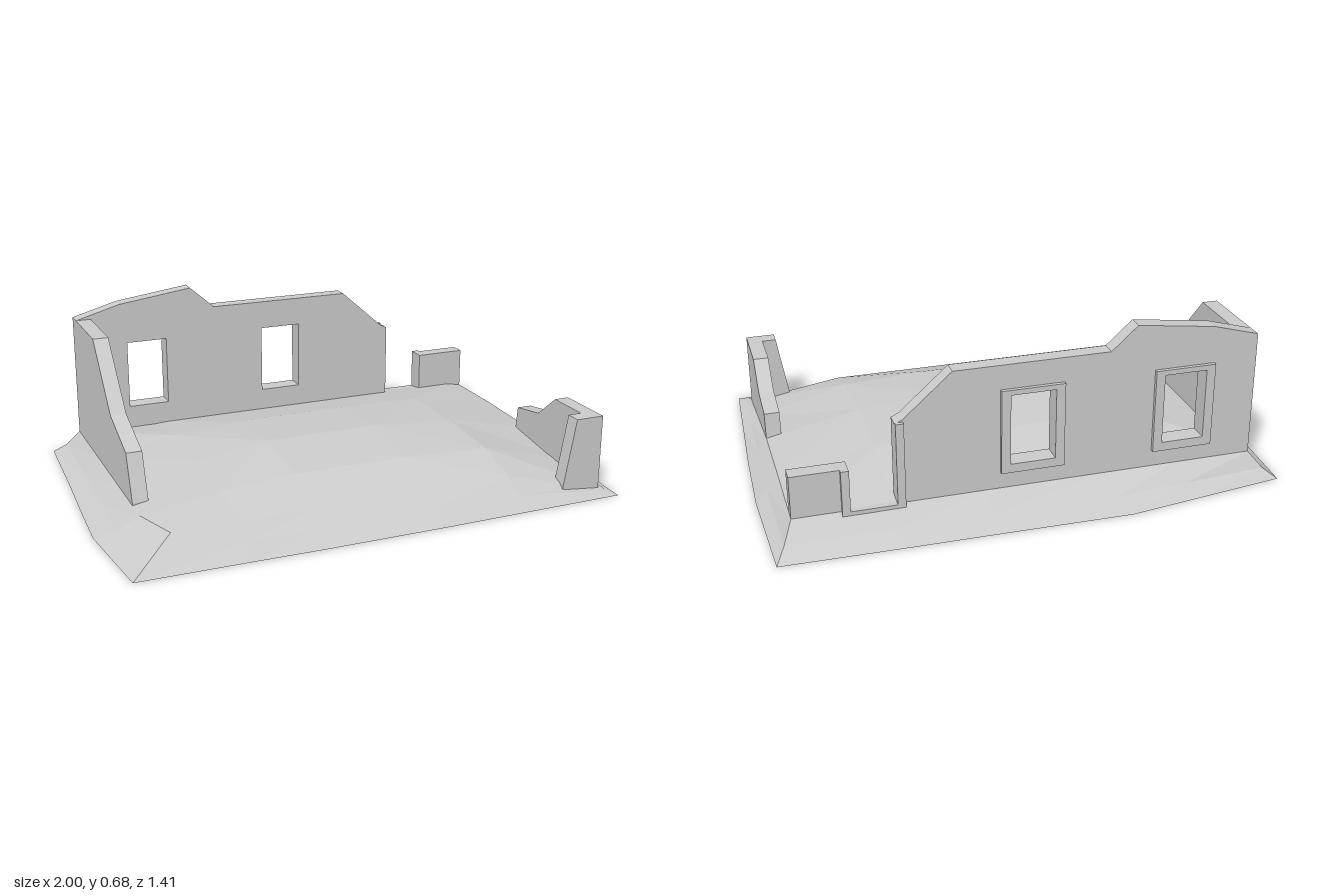
import * as THREE from 'three';

const material = new THREE.MeshStandardMaterial({ color: 0xcccccc, flatShading: true });

function named(name, geometry) {
  const mesh = new THREE.Mesh(geometry, material);
  mesh.name = name;
  return mesh;
}

const outline = (pts) => pts.map(([x, y]) => new THREE.Vector2(x, y));
const rect = (x0, x1, y0, y1) => outline([[x0, y0], [x1, y0], [x1, y1], [x0, y1]]);

// Slab with an outline in x/y, spanning z0..z1
function slabZ(name, pts, z0, z1, holes = []) {
  const shape = new THREE.Shape(pts);
  holes.forEach((h) => shape.holes.push(new THREE.Path(h)));
  const g = new THREE.ExtrudeGeometry(shape, { depth: z1 - z0, bevelEnabled: false });
  return named(name, g.translate(0, 0, z0));
}

// Slab with an outline in z/y, spanning x0..x1
function slabX(name, pts, x0, x1) {
  const g = new THREE.ExtrudeGeometry(new THREE.Shape(pts), { depth: x1 - x0, bevelEnabled: false });
  return named(name, g.rotateY(-Math.PI / 2).translate(x1, 0, 0));
}

// Low mound of rubble: a height grid, a two-step skirt and a flat underside
function mound() {
  const X = [-0.85, -0.54, -0.26, 0.2, 0.54, 0.91];
  const Z = [-0.55, -0.22, 0.1, 0.39, 0.57];
  const H = [
    [0.1, 0.1, 0.1, 0.1, 0.1, 0.1],
    [0.1, 0.15, 0.17, 0.17, 0.165, 0.1],
    [0.1, 0.155, 0.196, 0.196, 0.17, 0.09],
    [0.1, 0.145, 0.165, 0.165, 0.15, 0.05],
    [0.1, 0.1, 0.1, 0.1, 0.1, 0.015],
  ];
  const grid = H.map((row, r) => row.map((y, c) => [X[c], y, Z[r]]));
  grid[4][0][0] = -0.79;
  grid[4][5][2] = 0.63;
  const rows = Z.length, cols = X.length, tri = [];
  const quad = (a, b, c, d, flip) =>
    flip ? tri.push(a, b, d, b, c, d) : tri.push(a, b, c, a, c, d);

  for (let r = 0; r < rows - 1; r++) {
    for (let c = 0; c < cols - 1; c++) {
      quad(grid[r][c], grid[r + 1][c], grid[r + 1][c + 1], grid[r][c + 1], (c < 2) !== (r < 2));
    }
  }

  // Grid border, starting at the back corner on -x
  const edge = [...grid[0]];
  for (let r = 1; r < rows; r++) edge.push(grid[r][cols - 1]);
  for (let c = cols - 2; c >= 0; c--) edge.push(grid[rows - 1][c]);
  for (let r = rows - 2; r > 0; r--) edge.push(grid[r][0]);

  const foot = [
    [-0.95, -0.62], [-0.6, -0.67], [-0.32, -0.71], [0.2, -0.7], [0.54, -0.695], [0.985, -0.685],
    [1, -0.23], [0.99, 0.1], [0.975, 0.39], [0.96, 0.695],
    [0.54, 0.7], [0.2, 0.705], [-0.26, 0.705], [-0.54, 0.7], [-0.96, 0.695],
    [-1, 0.3], [-0.99, 0.1], [-0.97, -0.22],
  ].map(([x, z]) => [x, 0, z]);

  // The skirt sags on the back and on the -x side
  const mid = edge.map((p, i) => {
    const sag = i < 6 || i > 14 ? 0.38 : 0.5;
    return [(p[0] + foot[i][0]) / 2, p[1] * sag, (p[2] + foot[i][2]) / 2];
  });
  for (let i = 0; i < edge.length; i++) {
    const j = (i + 1) % edge.length;
    quad(edge[i], edge[j], mid[j], mid[i]);
    quad(mid[i], mid[j], foot[j], foot[i]);
    tri.push([0, 0, 0], foot[i], foot[j]);
  }
  const g = new THREE.BufferGeometry();
  g.setAttribute('position', new THREE.Float32BufferAttribute(tri.flat(), 3));
  g.computeVertexNormals();
  return named('groundMound', g);
}

export function createModel() {
  const model = new THREE.Group();
  const back = -0.55, inner = -0.49, proud = -0.565;
  model.add(mound());

  // Back wall with two window openings and a broken top
  const windows = [[-0.645, -0.48], [-0.06, 0.11]];
  model.add(slabZ('backWall', outline([
    [-0.85, 0.04], [0.53, 0.04], [0.53, 0.415], [0.5, 0.43], [0.32, 0.59],
    [-0.27, 0.59], [-0.37, 0.68], [-0.67, 0.64], [-0.85, 0.59],
  ]), back, inner, windows.map(([a, b]) => rect(a, b, 0.2, 0.475))));

  // Raised window surrounds on the outside
  windows.forEach(([a, b]) => model.add(slabZ('windowFrame',
    rect(a - 0.035, b + 0.035, 0.165, 0.495), proud, back, [rect(a, b, 0.2, 0.475)])));

  // Doorway: stub of wall, two jambs and a threshold
  model.add(slabZ('backWallStub', rect(0.7, 0.91, 0.04, 0.265), back, inner));
  model.add(slabZ('doorJamb', rect(0.5, 0.53, 0.04, 0.42), proud, back));
  model.add(slabZ('doorJamb', rect(0.7, 0.73, 0.04, 0.265), proud, back));
  model.add(slabZ('doorThreshold', rect(0.53, 0.7, 0.04, 0.102), proud, inner));

  // Side wall stepping down to the front
  model.add(slabX('rightWall', outline([
    [inner, 0.05], [0.3, 0.05], [0.295, 0.11], [0.235, 0.28], [0.025, 0.355], [-0.2, 0.59], [inner, 0.59],
  ]), -0.85, -0.79));

  // Broken front corner: a long side and a short return
  model.add(slabX('leftWall', outline([
    [0.1, 0.02], [0.63, 0.005], [0.63, 0.31], [0.39, 0.31], [0.275, 0.215], [0.12, 0.19],
  ]), 0.85, 0.91));
  model.add(slabZ('frontWallCorner', outline([
    [0.745, 0.005], [0.85, 0.005], [0.85, 0.31], [0.795, 0.31], [0.75, 0.05],
  ]), 0.57, 0.63));

  return model;
}
